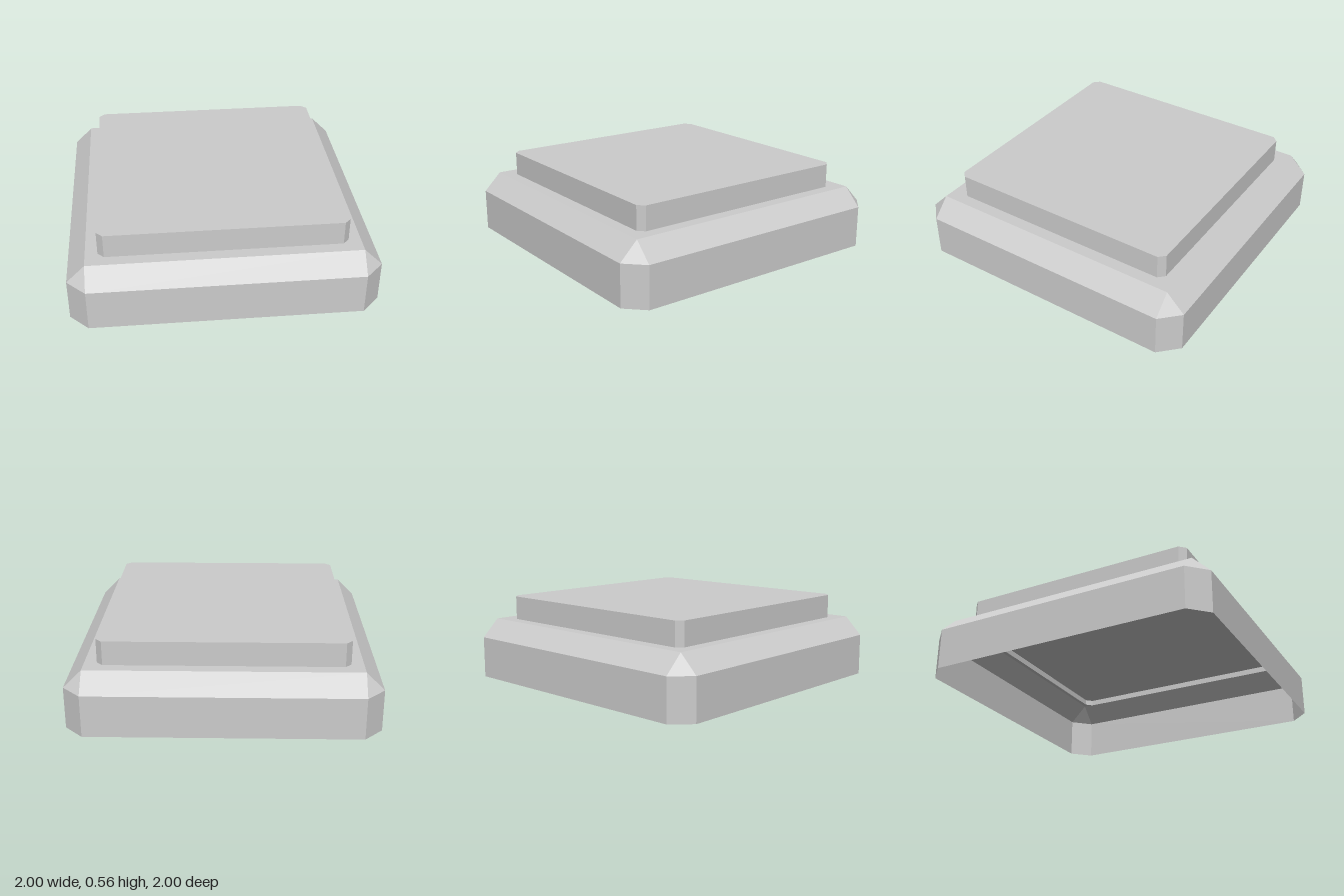
import * as THREE from 'three';

const material = new THREE.MeshStandardMaterial({
  color: 0xcccccc, flatShading: true, side: THREE.DoubleSide,
});

// Square ring with cut corners, counter-clockwise seen from above
function ring(half, cut, y) {
  const k = half - cut;
  return [[half, k], [half, -k], [k, -half], [-k, -half],
    [-half, -k], [-half, k], [-k, half], [k, half]]
    .map(([x, z]) => new THREE.Vector3(x, y, z));
}

// Skin a stack of rings, close the top and leave the bottom open
function openShell(name, rings) {
  const points = [];
  const addTriangle = (a, b, c) => {
    if (new THREE.Triangle(a, b, c).getArea() > 1e-6) points.push(a, b, c);
  };
  for (let r = 0; r < rings.length - 1; r++) {
    const low = rings[r], high = rings[r + 1];
    for (let i = 0; i < 8; i++) {
      const j = (i + 1) % 8;
      addTriangle(low[i], low[j], high[j]);
      addTriangle(low[i], high[j], high[i]);
    }
  }
  const top = rings[rings.length - 1];
  for (let i = 1; i < 7; i++) addTriangle(top[0], top[i], top[i + 1]);

  const geometry = new THREE.BufferGeometry().setFromPoints(points);
  geometry.computeVertexNormals();
  const mesh = new THREE.Mesh(geometry, material);
  mesh.name = name;
  return mesh;
}

export function createModel() {
  const model = new THREE.Group();
  model.name = 'squareButton';

  // Hollow base: upright walls, then a bevel running to sharp top corners
  model.add(openShell('base', [
    ring(1, 0.12, 0), ring(1, 0.12, 0.28), ring(0.88, 0, 0.4),
  ]));

  // Raised plate whose walls reach slightly below the base's top
  model.add(openShell('plate', [ring(0.8, 0.04, 0.36), ring(0.8, 0.04, 0.56)]));

  return model;
}
